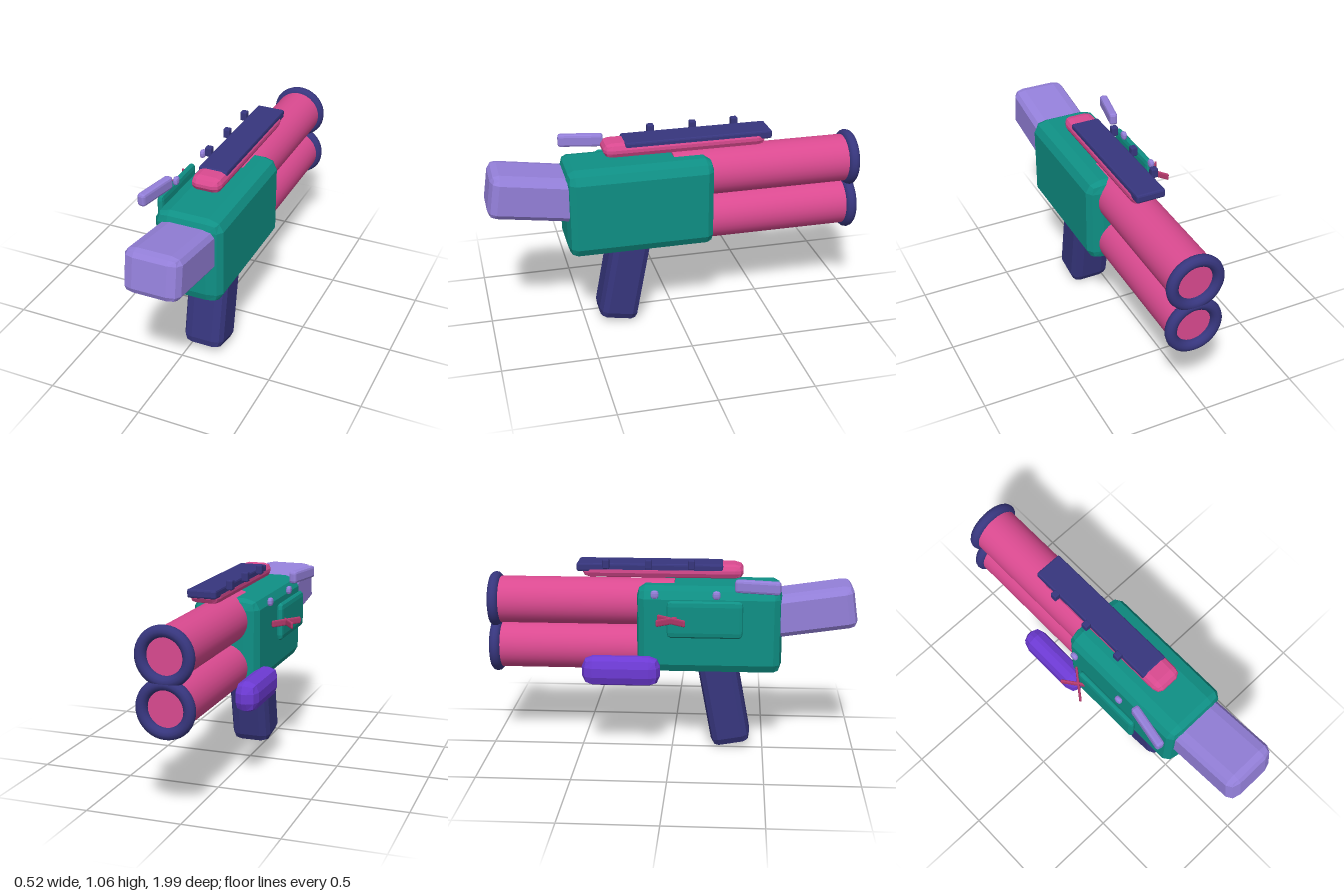
import * as THREE from 'three';
import { RoundedBoxGeometry } from 'three/addons/geometries/RoundedBoxGeometry.js';

const mat = (name, color) => {
  const m = new THREE.MeshStandardMaterial({ color });
  m.name = name;
  return m;
};

// Faceted box whose bevel has its own radius along each axis
function bevelBox(size, radii) {
  const [w, h, d] = size.map((s, i) => s / radii[i]);
  const geo = new RoundedBoxGeometry(w, h, d, 1, 1);
  geo.scale(...radii);
  geo.computeVertexNormals(); // unshared corners give flat facets
  return geo;
}

export function createModel() {
  const teal = mat('teal', 0x0f9085);
  const pink = mat('pink', 0xda4a90);
  const navy = mat('navy', 0x37367e);
  const violet = mat('violet', 0x6d3ad4);
  const lilac = mat('lilac', 0x9480da);
  const rose = mat('rose', 0xb53a6c);

  const model = new THREE.Group();
  model.name = 'doubleBarrelBlaster';
  const cx = 0.079; // centre line of the main parts

  const add = (name, geo, material, pos, rot = [0, 0, 0]) => {
    const mesh = new THREE.Mesh(geo, material);
    mesh.name = name;
    mesh.position.set(...pos);
    mesh.rotation.set(...rot);
    model.add(mesh);
    return mesh;
  };
  const box = (name, material, size, radii, pos, rot) =>
    add(name, bevelBox(size, radii), material, pos, rot);

  // Receiver, stock and grip
  box('body', teal, [0.366, 0.478, 0.78], [0.079, 0.059, 0.045], [cx, 0.688, 0.2]);
  box('stock', lilac, [0.298, 0.23, 0.5], [0.06, 0.035, 0.045], [cx, 0.788, 0.731], [-0.148, 0, 0]);
  box('grip', navy, [0.225, 0.55, 0.215], [0.055, 0.05, 0.04], [cx, 0.283, 0.28], [-0.183, 0, 0]);

  // Two stacked barrels with muzzle rings
  const barrelGeo = new THREE.CylinderGeometry(0.128, 0.128, 0.975, 32).rotateX(Math.PI / 2);
  const ringGeo = new THREE.TorusGeometry(0.122, 0.03, 12, 36);
  for (const [name, y] of [['upper', 0.811], ['lower', 0.557]]) {
    add(name + 'Barrel', barrelGeo, pink, [cx, y, -0.4775]);
    add(name + 'MuzzleRing', ringGeo, navy, [cx, y, -0.97]);
  }

  // Top rail with plate and side studs
  box('railBase', pink, [0.16, 0.077, 0.865], [0.035, 0.03, 0.045], [cx, 0.993, -0.053]);
  box('railPlate', navy, [0.155, 0.045, 0.785], [0.008, 0.01, 0.01], [cx - 0.002, 1.013, -0.122]);
  const studGeo = bevelBox([0.035, 0.051, 0.036], [0.005, 0.007, 0.005]);
  for (const z of [0.103, -0.125, -0.353]) add('railStud', studGeo, navy, [-0.017, 1.038, z]);

  // Right-hand side fittings
  box('lever', lilac, [0.045, 0.068, 0.24], [0.012, 0.014, 0.014], [-0.151, 0.955, 0.455], [0, -0.19, 0]);
  box('sidePanel', teal, [0.035, 0.2, 0.4], [0.014, 0.03, 0.02], [-0.17, 0.78, 0.18]);
  const knobGeo = bevelBox([0.028, 0.045, 0.042], [0.01, 0.015, 0.016]);
  for (const z of [0.24, -0.085]) add('panelKnob', knobGeo, lilac, [-0.142, 0.905, z]);

  // Crossed handle
  const barGeo = bevelBox([0.013, 0.036, 0.187], [0.004, 0.008, 0.006]);
  for (const s of [1, -1]) add('crossBar', barGeo, rose, [-0.202, 0.781, 0.005], [0, s * 0.64, 0]);

  // Side canister beside the lower barrel
  box('canister', violet, [0.125, 0.16, 0.42], [0.05, 0.055, 0.06], [-0.13, 0.48, -0.268]);

  return model;
}
